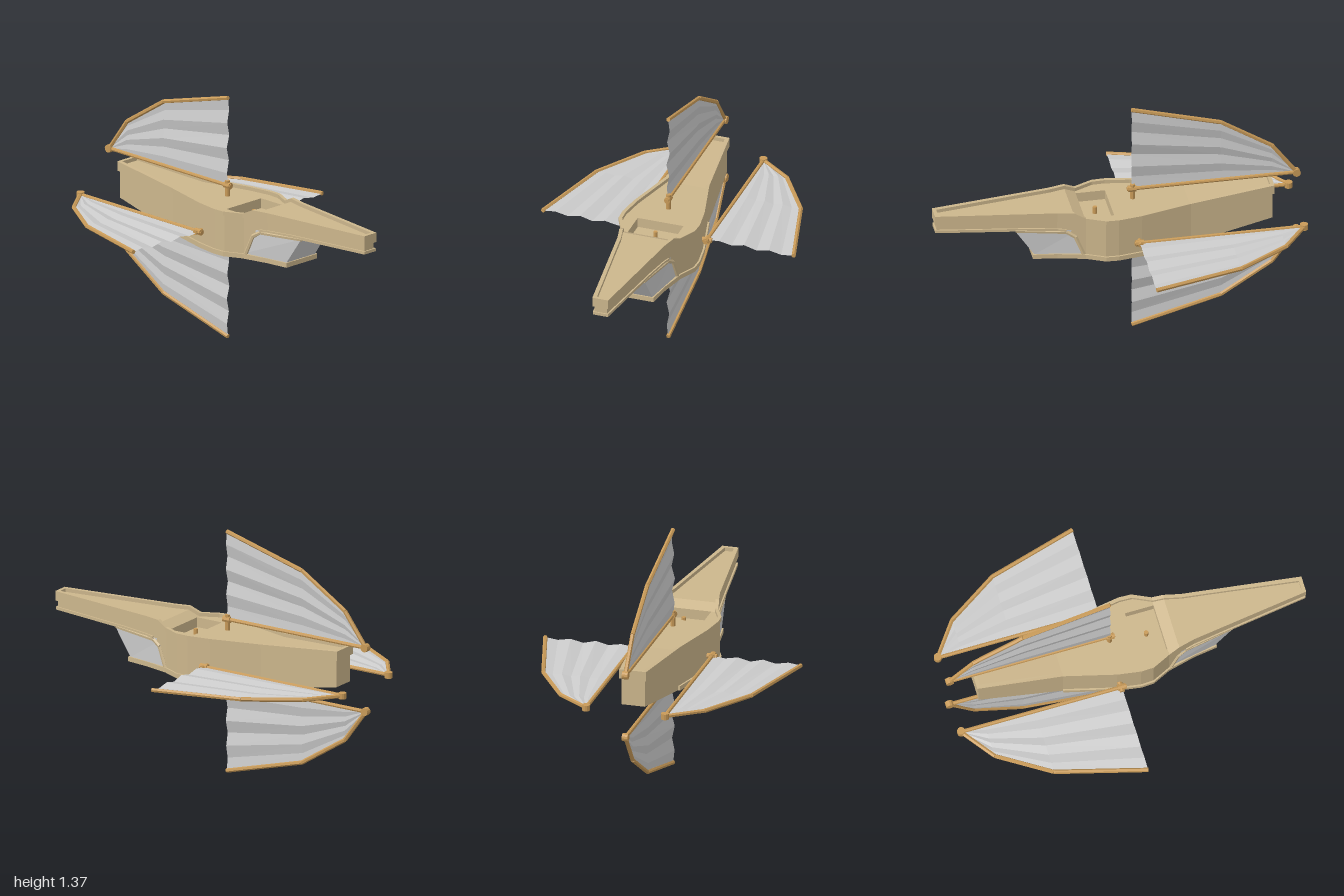
import * as THREE from 'three';

const mat = (color) => new THREE.MeshStandardMaterial({ color, flatShading: true, side: THREE.DoubleSide });
const hullMat = mat(0xccb68c), woodMat = mat(0xc89a58), greyMat = mat(0xcccccc);

// Piecewise linear profile over descending z
const profile = (pts) => (z) => {
  for (let i = 0; i < pts.length - 1; i++) {
    const [a, u] = pts[i], [b, v] = pts[i + 1];
    if (z <= a + 1e-6 && z >= b - 1e-6) return u + ((v - u) * (a - z)) / (a - b);
  }
  return z > pts[0][0] ? pts[0][1] : pts[pts.length - 1][1];
};
const width = profile([[1, 0.045], [0.35, 0.134], [0.2, 0.17], [0.1, 0.217], [0.03, 0.22], [-0.1, 0.2], [-0.38, 0.127], [-0.845, 0.075]]);
const rimTop = profile([[1, 0.84], [0.26, 0.84], [0.2, 0.81], [-0.38, 0.81], [-0.845, 0.84]]);
const keel = profile([[1, 0.74], [0.5, 0.735], [0.3, 0.725], [0.25, 0.7], [0.2, 0.58], [0.18, 0.56], [-0.38, 0.56], [-0.845, 0.635]]);
const rimLow = (z) => 0.787;
const stations = [1, 0.5, 0.35, 0.3, 0.26, 0.25, 0.2, 0.18, 0.1, 0.04, 0.03, -0.1, -0.38, -0.845];
const between = (a, b) => [a, ...stations.filter((z) => z < a && z > b), b];

// Mesh from a list of four-cornered faces
function quadMesh(name, quads, material) {
  const pos = [];
  for (const [a, b, c, d] of quads) pos.push(...a, ...b, ...c, ...a, ...c, ...d);
  const g = new THREE.BufferGeometry();
  g.setAttribute('position', new THREE.Float32BufferAttribute(pos, 3));
  g.computeVertexNormals();
  const m = new THREE.Mesh(g, material);
  m.name = name;
  return m;
}

// Closed plan outline, front to back on +x and forward again on -x
function outline(zs, inset) {
  const last = zs.length - 1;
  const side = zs.map((z, i) => ({ x: width(z) - inset, z: i === 0 ? z - inset : i === last ? z + inset : z, s: z }));
  return [...side, ...side.slice().reverse().map((p) => ({ ...p, x: -p.x }))];
}
const at = (p, f) => [p.x, f(p.s), p.z];

// Solid following the plan; a hatch opening may be left in its top
function slab(name, zs, inset, low, high, hatch) {
  const o = outline(zs, inset), n = o.length, q = [];
  o.forEach((p, i) => {
    const r = o[(i + 1) % n];
    q.push([at(p, low), at(r, low), at(r, high), at(p, high)]);
  });
  for (let i = 0; i < zs.length - 1; i++) {
    const R = o[i], S = o[i + 1], L = o[n - 1 - i], M = o[n - 2 - i];
    q.push([at(L, low), at(M, low), at(S, low), at(R, low)]);
    if (hatch && R.s <= hatch.front && S.s >= hatch.back) {
      const h = (p, x) => [x, high(p.s), p.z];
      q.push([h(R, hatch.x), at(R, high), at(S, high), h(S, hatch.x)]);
      q.push([at(L, high), h(R, -hatch.x), h(S, -hatch.x), at(M, high)]);
    } else q.push([at(L, high), at(R, high), at(S, high), at(M, high)]);
  }
  return quadMesh(name, q, hullMat);
}

// Upright band around the plan
function band(name, zs, inset, thick, low, high) {
  const o = outline(zs, inset), k = outline(zs, inset + thick), q = [];
  o.forEach((a, i) => {
    const j = (i + 1) % o.length, b = o[j], c = k[j], d = k[i];
    q.push([at(a, low), at(b, low), at(b, high), at(a, high)], [at(a, high), at(b, high), at(c, high), at(d, high)]);
    q.push([at(c, low), at(d, low), at(d, high), at(c, high)], [at(d, low), at(c, low), at(b, low), at(a, low)]);
  });
  return quadMesh(name, q, hullMat);
}

// Straight bar between two points
function bar(name, a, b, r, material, sides = 6) {
  const A = new THREE.Vector3(...a), B = new THREE.Vector3(...b), d = B.clone().sub(A);
  const m = new THREE.Mesh(new THREE.CylinderGeometry(r, r, d.length(), sides), material);
  m.position.copy(A).add(B).multiplyScalar(0.5);
  m.quaternion.setFromUnitVectors(new THREE.Vector3(0, 1, 0), d.normalize());
  m.name = name;
  return m;
}

// Sail built outward along +x from a rod running along z
function createSail(name) {
  const g = new THREE.Group();
  g.name = name;
  const spar = [[0, -0.98], [0.183, -0.845], [0.36, -0.567], [0.493, -0.08]];
  for (let i = 0; i < 3; i++) {
    const [a, b] = [spar[i], spar[i + 1]];
    g.add(bar('sailSpar', [a[0], 0, a[1]], [b[0], 0, b[1]], 0.012, woodMat));
  }
  g.add(bar('sailRod', [0, 0, -0.055], [0, 0, -0.98], 0.011, woodMat, 8));
  g.add(bar('hingePin', [0, -0.016, -0.978], [0, 0.016, -0.978], 0.022, woodMat, 12));
  g.add(bar('mountPost', [-0.06, 0, -0.085], [0.027, 0, -0.085], 0.014, woodMat, 8));
  g.add(bar('mountCollar', [0, 0, -0.06], [0, 0, -0.105], 0.018, woodMat, 8));
  // Cloth fanning out from the hinge, with folds deepening to the free edge
  const folds = 7, fold = [0, 0.008, -0.006, 0.01, -0.009, 0.006, -0.008, 0], q = [];
  const point = (i, j) => [(spar[i][0] * j) / folds, (fold[j] * i) / 3, spar[i][1]];
  for (let i = 0; i < 3; i++)
    for (let j = 0; j < folds; j++) q.push([point(i, j), point(i + 1, j), point(i + 1, j + 1), point(i, j + 1)]);
  g.add(quadMesh('sailCloth', q, greyMat));
  return g;
}

export function createModel() {
  const model = new THREE.Group();
  model.name = 'sailCraft';
  const full = between(1, -0.845);
  const hatch = { x: 0.13, front: 0.2, back: 0.04 };

  // Hull with sunken deck, raised rim and trim
  model.add(slab('hull', full, 0.01, keel, (z) => rimTop(z) - 0.02, hatch));
  model.add(band('deckRim', full, 0, 0.02, rimLow, rimTop));
  model.add(slab('prowTrim', between(1, 0.3), 0.002, (z) => keel(z) - 0.004, (z) => keel(z) + 0.012));
  model.add(slab('basePlate', between(0.48, -0.38), 0, () => 0.558, () => 0.584));

  // Hatch well and control knob
  const { x, front, back } = hatch, top = 0.79, floor = 0.735;
  const rect = [[-x, front], [x, front], [x, back], [-x, back]];
  const well = rect.map(([px, pz], i) => {
    const [rx, rz] = rect[(i + 1) % 4];
    return [[px, top, pz], [rx, top, rz], [rx, floor, rz], [px, floor, pz]];
  });
  well.push(rect.map(([px, pz]) => [px, floor, pz]));
  model.add(quadMesh('hatchWell', well, hullMat));
  model.add(bar('controlStick', [0, floor, 0.12], [0, 0.775, 0.12], 0.012, woodMat, 8));

  // Cabin glass under the prow
  const glass = [[[-0.108, 0.58, 0.47], [0.108, 0.58, 0.47], [0.1, 0.735, 0.575], [-0.1, 0.735, 0.575]]];
  for (const s of [1, -1]) {
    const side = [[s * 0.108, 0.58, 0.47], [s * 0.157, 0.58, 0.19], [s * 0.147, 0.73, 0.24], [s * 0.1, 0.735, 0.575]];
    glass.push(s > 0 ? side : side.reverse());
    // Frame curving down behind the side window
    const frame = [[0.57, 0.732], [0.3, 0.718], [0.255, 0.69], [0.21, 0.58]];
    for (let i = 0; i < 3; i++) {
      const [p, r] = [frame[i], frame[i + 1]].map(([z, y]) => [s * (width(z) - 0.012), y, z]);
      model.add(bar('windowFrame', p, r, 0.012, hullMat));
    }
  }
  model.add(quadMesh('cabinGlass', glass, greyMat));

  // Four sails: left, upper, right and lower
  const mounts = [['leftSail', 0.22, 0.655, 0], ['upperSail', 0, 0.865, 1], ['rightSail', -0.22, 0.655, 2], ['lowerSail', 0, 0.507, 3]];
  for (const [name, px, py, turn] of mounts) {
    const sail = createSail(name);
    sail.position.set(px, py, 0);
    sail.rotation.z = (turn * Math.PI) / 2;
    model.add(sail);
  }
  return model;
}
